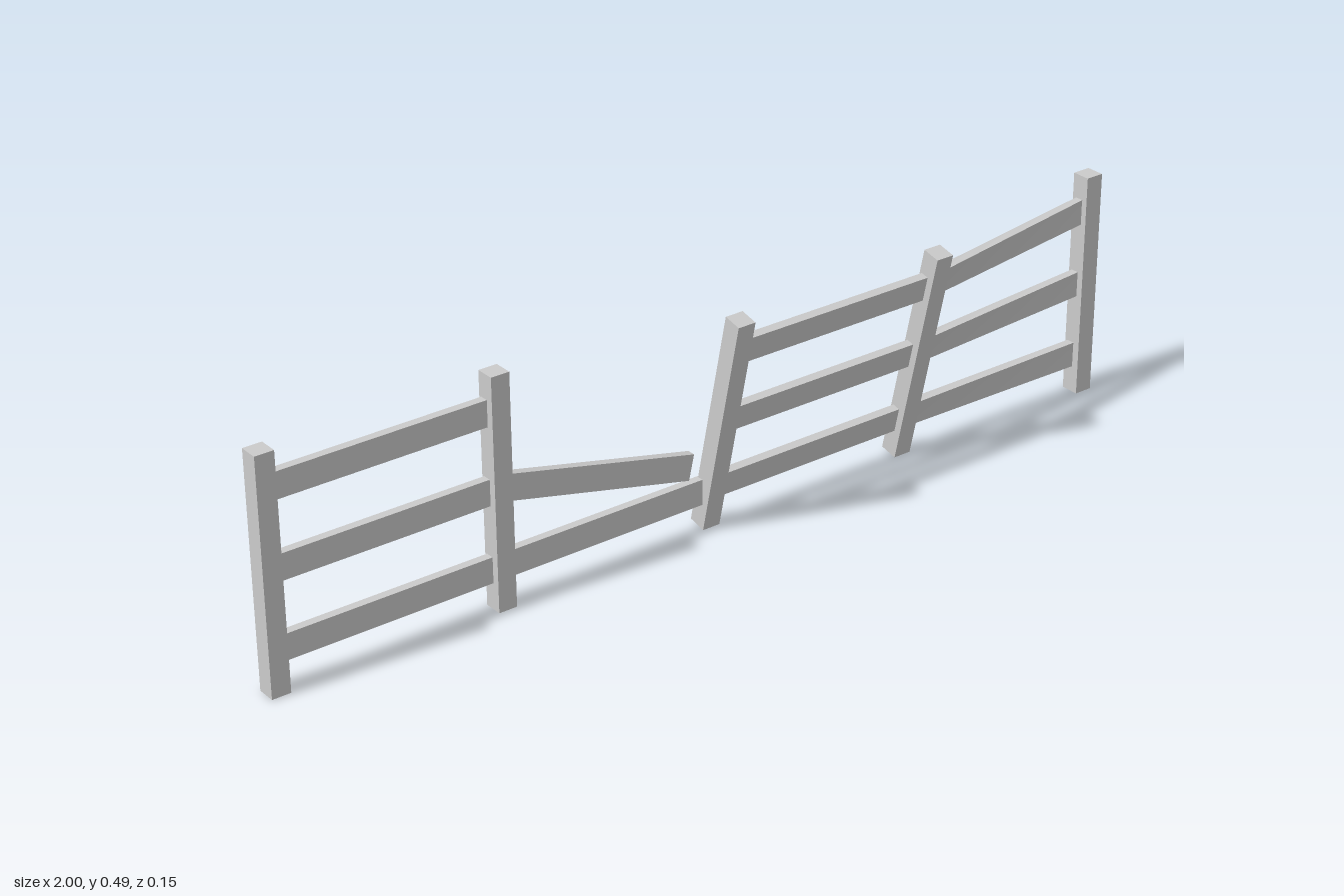
import * as THREE from 'three';

const LEAN = THREE.MathUtils.degToRad(13);
const MID = 0.245;            // half the post height
const material = new THREE.MeshStandardMaterial({ color: 0xcccccc, flatShading: true });

// Place a point of a post's own frame, for an upright or a leaning post
function onPost(post, y, z) {
  const p = new THREE.Vector3(0, y, z).applyAxisAngle(new THREE.Vector3(1, 0, 0), post.lean);
  return p.add(new THREE.Vector3(post.x, MID, post.z));
}

export function createModel() {
  const fence = new THREE.Group();
  fence.name = 'brokenFence';

  const add = (geometry, name) => {
    const mesh = new THREE.Mesh(geometry, material);
    mesh.name = name;
    fence.add(mesh);
    return mesh;
  };

  // Posts: the third and fourth have tipped forward
  const posts = [-0.98, -0.49, 0, 0.49, 0.98].map((x, i) => {
    const leaning = i === 2 || i === 3;
    return { x, z: leaning ? 0.001 : -0.04, lean: leaning ? LEAN : 0 };
  });
  posts.forEach((post) => {
    const mesh = add(new THREE.BoxGeometry(0.04, 2 * MID, 0.04), post.lean ? 'leaningPost' : 'post');
    mesh.position.set(post.x, MID, post.z);
    mesh.rotation.x = post.lean;
  });

  // A rail between two posts, twisting from one post's lean to the other's
  const addRail = (a, b, y, name) => {
    let geometry = new THREE.BoxGeometry(1, 0.055, 0.018, 4, 1, 1);
    const pos = geometry.attributes.position;
    for (let i = 0; i < pos.count; i++) {
      const ry = y + pos.getY(i);
      const rz = -0.005 + pos.getZ(i);
      const p = onPost(a, ry, rz).lerp(onPost(b, ry, rz), pos.getX(i) + 0.5);
      pos.setXYZ(i, p.x, p.y, p.z);
    }
    geometry = geometry.toNonIndexed();
    geometry.computeVertexNormals();
    add(geometry, name);
  };

  const levels = { lowerRail: -0.16, middleRail: 0.003, upperRail: 0.166 };
  for (const bay of [0, 2, 3]) {
    for (const [name, y] of Object.entries(levels)) addRail(posts[bay], posts[bay + 1], y, name);
  }

  // Broken bay: only the straight lower rail is left in place
  addRail(posts[1], { x: 0, z: -0.04, lean: 0 }, levels.lowerRail, 'lowerRail');

  // Middle rail of the broken bay, hanging from one end
  const hanging = add(new THREE.BoxGeometry(0.455, 0.055, 0.018), 'hangingRail');
  hanging.position.set(-0.268, 0.199, -0.045);
  hanging.rotation.z = -LEAN;

  return fence;
}
